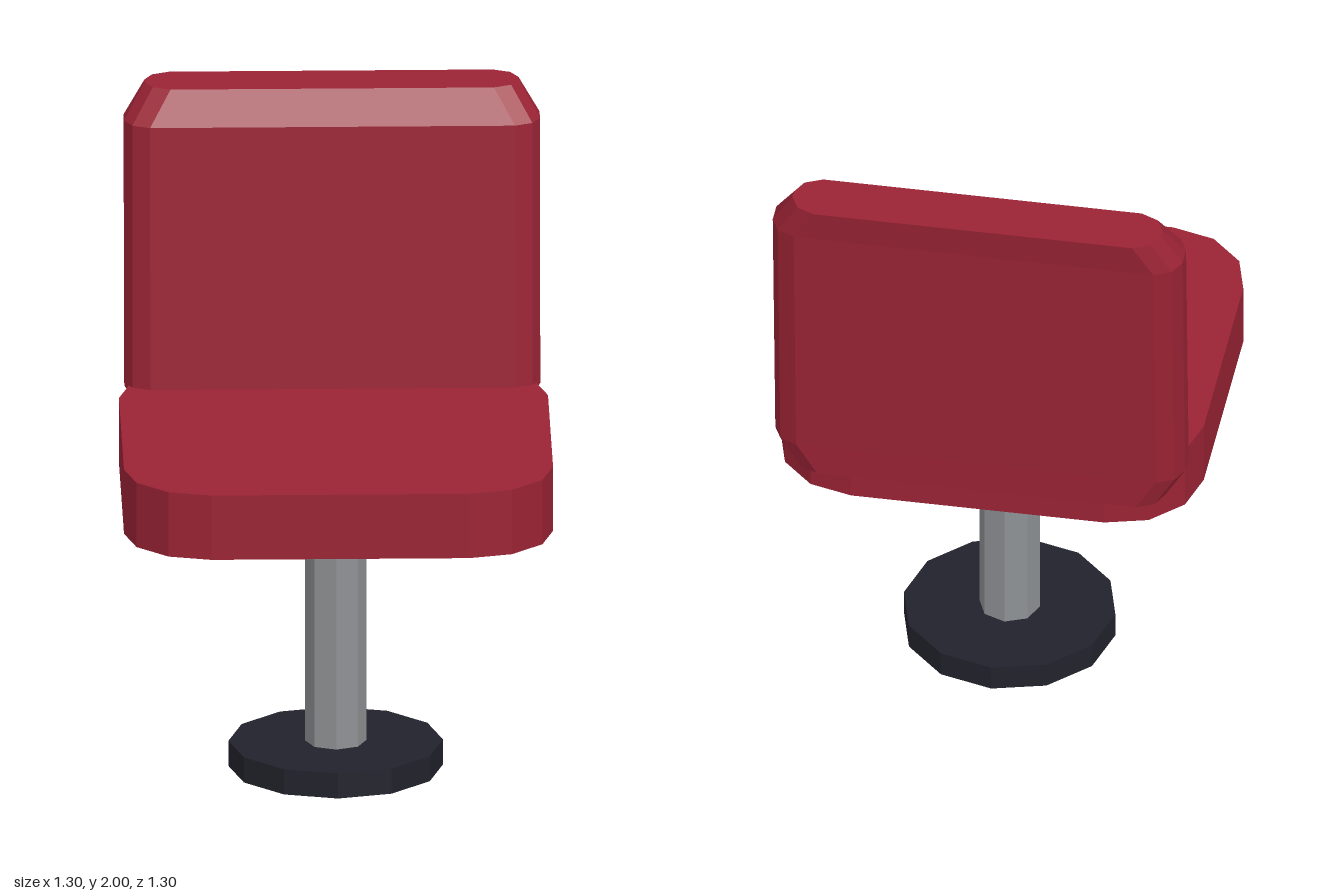
import * as THREE from 'three';

function material(name, color) {
  const m = new THREE.MeshStandardMaterial({ color, flatShading: true });
  m.name = name;
  return m;
}

// Horizontal rounded rectangle; insets run round one corner, from side to end
function ring({ y, z, hx, hz }, insets) {
  const points = [];
  for (const [sx, sz] of [[1, -1], [-1, -1], [-1, 1], [1, 1]]) {
    const corner = insets.map(([dx, dz]) => new THREE.Vector3(sx * (hx - dx), y, z + sz * (hz - dz)));
    points.push(...(sx * sz < 0 ? corner : corner.reverse()));
  }
  return points;
}

// Closed solid through a stack of sections, bottom to top
function loft(sections, insets) {
  const rings = sections.map((s) => ring(s, insets));
  const n = rings[0].length;
  const tris = [];
  for (let k = 0; k + 1 < rings.length; k++) {
    const a = rings[k], b = rings[k + 1];
    for (let i = 0; i < n; i++) {
      const j = (i + 1) % n;
      tris.push(a[i], a[j], b[j], a[i], b[j], b[i]);
    }
  }
  const bottom = rings[0], top = rings[rings.length - 1];
  for (let i = 1; i + 1 < n; i++) {
    tris.push(top[0], top[i], top[i + 1], bottom[0], bottom[i + 1], bottom[i]);
  }
  const geometry = new THREE.BufferGeometry().setFromPoints(tris);
  geometry.computeVertexNormals();
  return geometry;
}

export function createModel() {
  const model = new THREE.Group();
  model.name = 'stool';
  const red = material('red upholstery', 0x9b2335);
  const steel = material('grey steel', 0x8e9194);
  const dark = material('dark base', 0x22222c);

  const add = (name, geometry, mat, y = 0) => {
    const mesh = new THREE.Mesh(geometry, mat);
    mesh.name = name;
    mesh.position.y = y;
    model.add(mesh);
  };

  // Floor disc and post
  add('base', new THREE.CylinderGeometry(0.325, 0.325, 0.08, 12), dark, 0.04);
  add('post', new THREE.CylinderGeometry(0.093, 0.093, 0.775, 8), steel, 0.4675);

  // Seat cushion with rounded corners
  const seat = { z: 0.0425, hx: 0.65, hz: 0.6075 };
  add('seat', loft([{ ...seat, y: 0.87 }, { ...seat, y: 1.075 }],
    [[0, 0.26], [0.035, 0.13], [0.13, 0.035], [0.26, 0]]), red);

  // Backrest leaning backwards, narrowed at both ends
  add('backrest', loft([
    { y: 0.96, z: -0.5015, hx: 0.567, hz: 0.0875 },
    { y: 1.065, z: -0.4865, hx: 0.63, hz: 0.107 },
    { y: 1.895, z: -0.5325, hx: 0.63, hz: 0.107 },
    { y: 2, z: -0.566, hx: 0.567, hz: 0.0875 },
  ], [[0, 0.075], [0.024, 0.025], [0.077, 0]]), red);

  return model;
}
